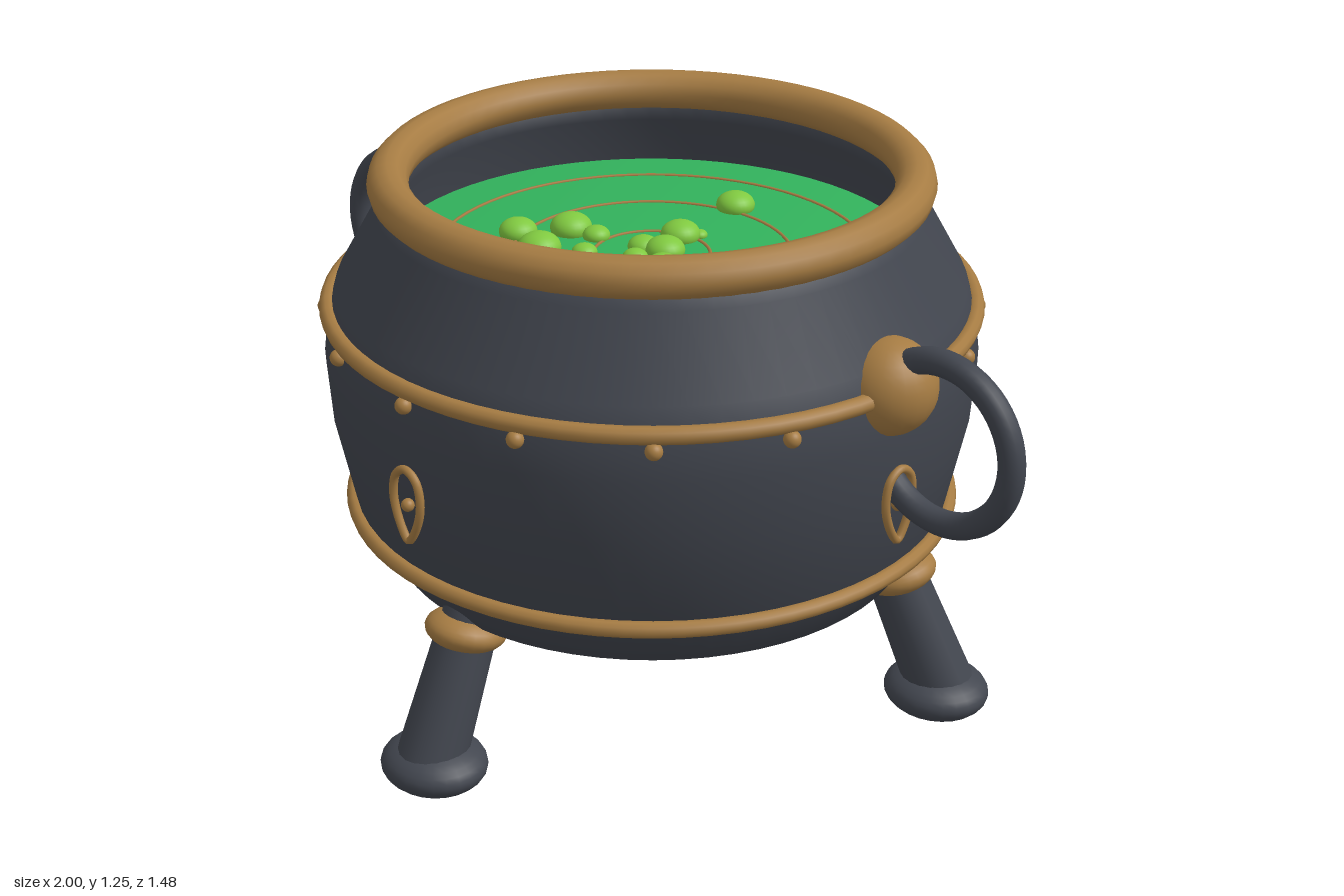
import * as THREE from 'three';
import { mergeVertices } from 'three/addons/utils/BufferGeometryUtils.js';

const mat = (name, color, side = THREE.FrontSide) => {
  const m = new THREE.MeshStandardMaterial({ color, side });
  m.name = name;
  return m;
};

export function createModel() {
  const iron = mat('iron', 0x42464f, THREE.DoubleSide);
  const bronze = mat('bronze', 0xa67c43);
  const brew = mat('green brew', 0x32b25c);
  const froth = mat('bubble green', 0x80c940);

  const root = new THREE.Group();
  root.name = 'cauldron';
  root.position.z = -0.02;

  const add = (parent, name, geometry, material, x = 0, y = 0, z = 0) => {
    const mesh = new THREE.Mesh(geometry, material);
    mesh.name = name;
    mesh.position.set(x, y, z);
    parent.add(mesh);
    return mesh;
  };
  const ball = (parent, name, material, r, x, y, z, sx = 1, sy = 1, sz = 1) => {
    const mesh = add(parent, name, new THREE.SphereGeometry(r, 24, 16), material, x, y, z);
    mesh.scale.set(sx, sy, sz);
    return mesh;
  };
  const hoop = (name, material, radius, tube, y, sides = 10) => {
    const g = new THREE.TorusGeometry(radius, tube, sides, 72).rotateX(Math.PI / 2);
    return add(root, name, g, material, 0, y, 0);
  };

  // Pot: outer wall from the base upward, then the inner wall down to the floor
  const profile = [
    [0, 0.255], [0.16, 0.257], [0.365, 0.272], [0.572, 0.37], [0.65, 0.51],
    [0.69, 0.70], [0.70, 0.84], [0.69, 0.92], [0.67, 0.99], [0.58, 1.15],
    [0.575, 1.2], [0.53, 1.2], [0.535, 1.14], [0.58, 1.03], [0.6, 0.8], [0.5, 0.45], [0, 0.34],
  ].map(([r, y]) => new THREE.Vector2(r, y));
  add(root, 'pot', new THREE.LatheGeometry(profile, 64), iron);

  // Rim and bands
  hoop('rim', bronze, 0.552, 0.044, 1.208, 12);
  hoop('upperBand', bronze, 0.689, 0.019, 0.94);
  hoop('lowerBand', bronze, 0.653, 0.018, 0.49);

  // Rivets under the upper band
  for (let i = 0; i < 16; i++) {
    const a = (i / 16) * Math.PI * 2;
    ball(root, 'rivet', bronze, 0.018, Math.sin(a) * 0.698, 0.91, Math.cos(a) * 0.698);
  }

  // Drop-shaped ornaments on four sides
  const drop = [[0, 0.08], [0.03, 0.062], [0.041, 0.015], [0.03, -0.035], [0.004, -0.079],
    [-0.004, -0.079], [-0.03, -0.035], [-0.041, 0.015], [-0.03, 0.062]]
    .map(([x, y]) => new THREE.Vector3(x, y, 0));
  const dropPath = new THREE.CatmullRomCurve3(drop, true);
  for (let i = 0; i < 4; i++) {
    const side = new THREE.Group();
    side.name = 'ornament';
    side.rotation.y = (i * Math.PI) / 2;
    root.add(side);
    add(side, 'dropFrame', new THREE.TubeGeometry(dropPath, 60, 0.009, 8, true), bronze, 0, 0.688, 0.7);
    ball(side, 'dropStud', bronze, 0.014, 0, 0.688, 0.698);
  }

  // Ring handles on round mounts
  for (const s of [1, -1]) {
    ball(root, 'handleMount', bronze, 0.101, s * 0.66, 0.94, 0);
    add(root, 'handleRing', new THREE.TorusGeometry(0.172, 0.028, 14, 56), iron, s * 0.8, 0.86, 0);
  }

  // Three splayed legs
  const bottom = new THREE.Vector3(0, 0.06, 0.668);
  const top = new THREE.Vector3(0, 0.388, 0.53);
  const tilt = Math.atan2(top.z - bottom.z, top.y - bottom.y);
  for (let i = 0; i < 3; i++) {
    const a = (i * Math.PI * 2) / 3;
    const leg = new THREE.Group();
    leg.name = 'leg';
    leg.rotation.y = a;
    root.add(leg);
    const mid = bottom.clone().add(top).multiplyScalar(0.5);
    const shaft = new THREE.CylinderGeometry(0.062, 0.076, bottom.distanceTo(top), 20);
    add(leg, 'legShaft', shaft, iron, 0, mid.y, mid.z).rotation.x = tilt;
    const collar = ball(leg, 'legCollar', bronze, 0.088, 0, 0.34, 0.555, 1, 0.5, 1);
    collar.rotation.x = tilt * 0.6;
    ball(root, 'foot', iron, 0.12, Math.sin(a) * 0.656, 0.056, Math.cos(a) * 0.656, 1, 0.467, 0.92);
  }

  // Brew: a disc whose shared edge normals give it a soft swell
  const level = 1.03;
  let disc = new THREE.CylinderGeometry(0.575, 0.575, 0.04, 64);
  disc.deleteAttribute('normal');
  disc.deleteAttribute('uv');
  disc = mergeVertices(disc);
  disc.computeVertexNormals();
  add(root, 'brew', disc, brew, 0, level - 0.02, 0);

  // Ripples
  for (const r of [0.468, 0.3, 0.125]) hoop('ripple', bronze, r, 0.004, level, 6);

  // Bubbles: x, z, radius
  [[-0.053, -0.317, 0.043], [-0.02, -0.108, 0.043], [0.02, -0.02, 0.043], [-0.03, -0.005, 0.034],
    [0, 0.05, 0.028], [0.075, 0.043, 0.037], [0.24, 0.112, 0.038], [-0.02, 0.2, 0.043],
    [-0.18, 0.158, 0.047], [-0.28, 0.127, 0.042], [-0.214, 0.032, 0.046], [-0.148, 0.02, 0.03],
    [-0.097, 0.105, 0.028], [0.005, -0.142, 0.017],
  ].forEach(([x, z, r]) => ball(root, 'bubble', froth, r, x, level + r * 0.2, z, 1, 0.7, 1));

  const model = new THREE.Group();
  model.name = 'cauldronModel';
  model.add(root);
  return model;
}
